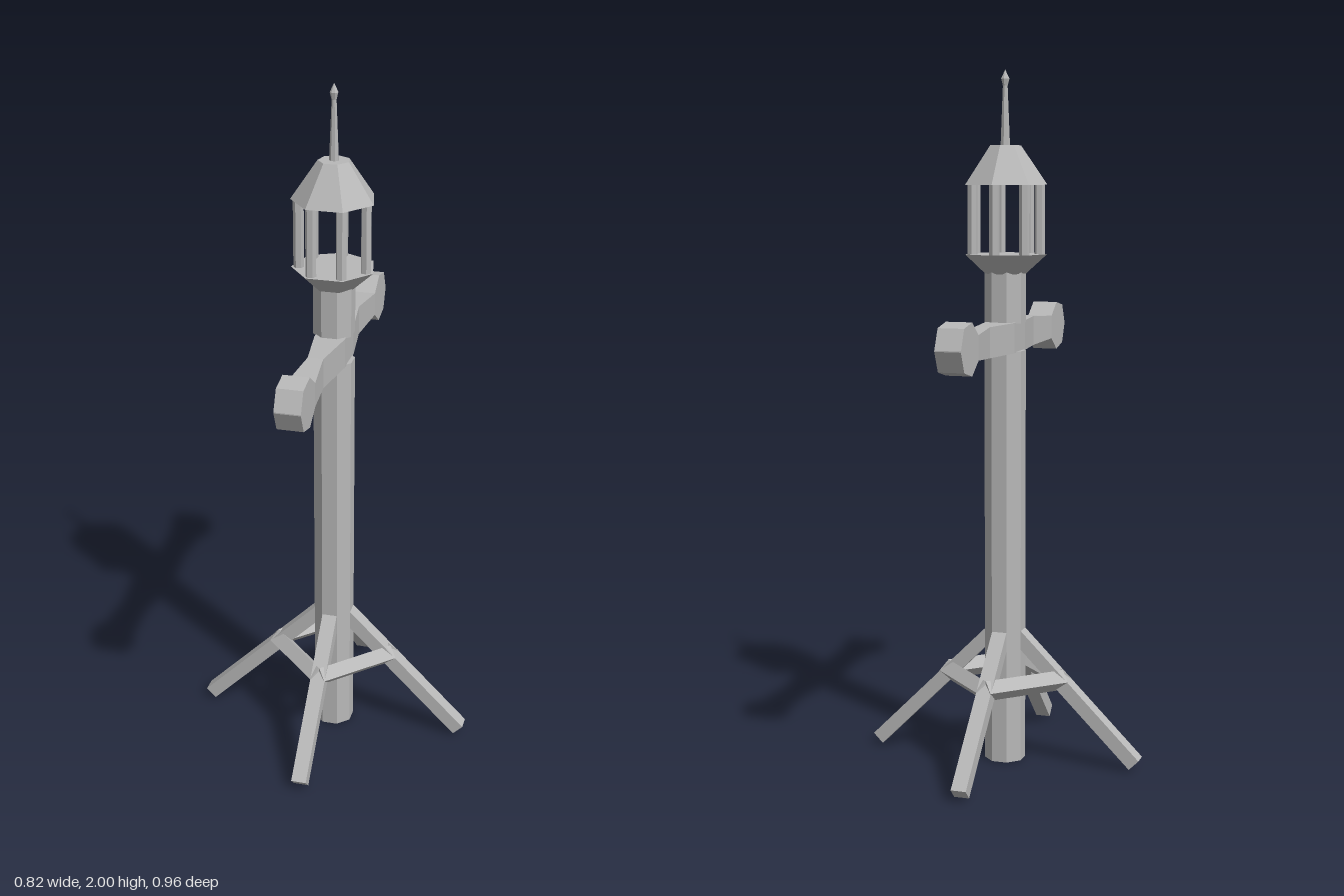
import * as THREE from 'three';

export function createModel() {
  const model = new THREE.Group();
  model.name = 'signalPost';
  const grey = new THREE.MeshStandardMaterial({ color: 0xb8b8b8, flatShading: true });
  grey.name = 'grey';

  const add = (name, geometry, parent = model) => {
    const mesh = new THREE.Mesh(geometry, grey);
    mesh.name = name;
    parent.add(mesh);
    return mesh;
  };
  // upright tapered prism between two heights
  const prism = (name, rTop, rBottom, y0, y1, sides, start) => {
    const mesh = add(name, new THREE.CylinderGeometry(rTop, rBottom, y1 - y0, sides, 1, false, start));
    mesh.position.y = (y0 + y1) / 2;
    return mesh;
  };

  // octagonal post, interrupted by the crossbar
  const postR = 0.055 / Math.cos(Math.PI / 8);
  prism('lowerPost', postR, postR, 0, 1.21, 8, Math.PI / 8);
  prism('upperPost', postR, postR, 1.29, 1.44, 8, Math.PI / 8);

  // four sloping legs and the diamond-section braces between them
  const legTop = new THREE.Vector2(0.03, 0.388), legFoot = new THREE.Vector2(0.397, 0.021);
  for (let i = 0; i < 4; i++) {
    const side = new THREE.Group();
    side.name = 'legAndBrace' + (i + 1);
    side.rotation.y = i * Math.PI / 2;
    model.add(side);

    const leg = add('leg', new THREE.BoxGeometry(legTop.distanceTo(legFoot), 0.04, 0.044), side);
    leg.position.set((legTop.x + legFoot.x) / 2, (legTop.y + legFoot.y) / 2, 0);
    leg.rotation.z = -Math.PI / 4;

    const brace = add('brace', new THREE.BoxGeometry(0.25, 0.042, 0.042).rotateX(Math.PI / 4), side);
    brace.rotation.y = Math.PI / 4;
    brace.position.set(0.089, 0.25, 0.089);
  }

  // crossbar: rectangular sections along z as [z, half width, bottom, top]
  const half = [
    [0.05, 0.044, 1.207, 1.293],
    [0.2, 0.022, 1.207, 1.293],
    [0.338, 0.037, 1.215, 1.284],
    [0.39, 0.037, 1.178, 1.322],
    [0.452, 0.037, 1.193, 1.31],
    [0.478, 0.037, 1.25, 1.253],
  ];
  const stations = [...half.map(([z, ...rest]) => [-z, ...rest]).reverse(), ...half];
  const spans = stations.length - 1;
  const bar = new THREE.BoxGeometry(2, 2, spans, 1, 1, spans);
  const p = bar.attributes.position;
  for (let i = 0; i < p.count; i++) {
    const [z, w, bottom, top] = stations[Math.round(p.getZ(i) + spans / 2)];
    p.setXYZ(i, p.getX(i) * w, p.getY(i) > 0 ? top : bottom, z);
  }
  bar.computeVertexNormals();
  add('crossbar', bar);

  // seven-sided lantern: bowl, columns and roof, one corner pointing back
  prism('lanternBase', 0.12, 0.06, 1.43, 1.485, 7, Math.PI);
  prism('lanternRoof', 0.045, 0.12, 1.68, 1.79, 7, Math.PI);
  for (let i = 0; i < 7; i++) {
    const a = Math.PI + i * Math.PI * 2 / 7;
    const column = prism('lanternColumn' + (i + 1), 0.015, 0.015, 1.48, 1.685, 6, a);
    column.position.x = Math.sin(a) * 0.098;
    column.position.z = Math.cos(a) * 0.098;
  }

  // slim finial with a pointed bud
  const finial = [[0.014, 1.785], [0.007, 1.955], [0.012, 1.975], [0, 2]];
  add('finial', new THREE.LatheGeometry(finial.map(([r, y]) => new THREE.Vector2(r, y)), 7, Math.PI));

  return model;
}
